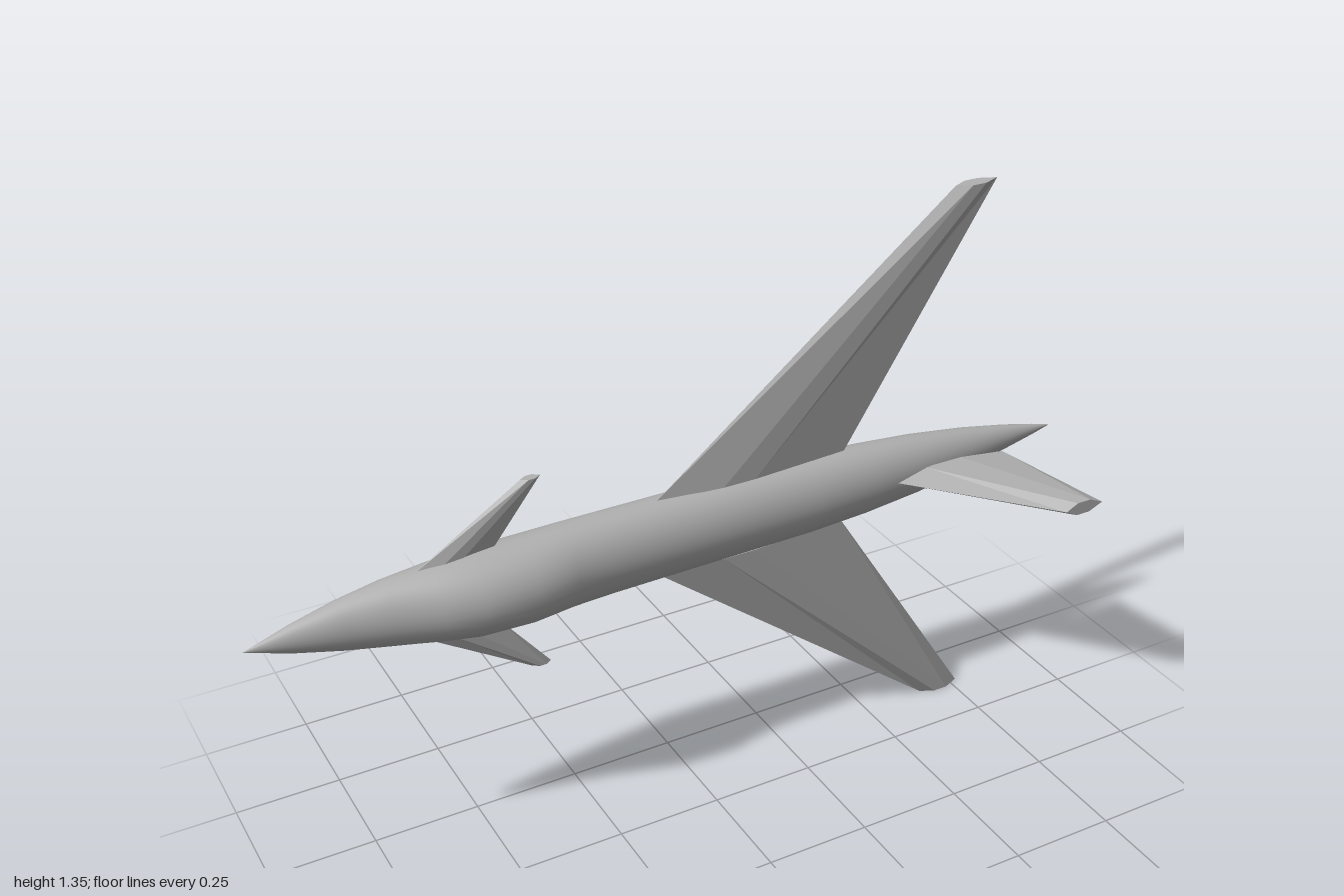
import * as THREE from 'three';

// Fuselage stations: [x, zMin (belly), zMax (back), half width]
const STATIONS = [
  [-1, -0.14, -0.14, 0], [-0.9, -0.162, -0.118, 0.032], [-0.8, -0.18, -0.1, 0.057],
  [-0.7, -0.195, -0.08, 0.075], [-0.6, -0.207, -0.05, 0.087], [-0.52, -0.217, -0.028, 0.093],
  [-0.4, -0.217, -0.025, 0.095], [-0.3, -0.212, -0.047, 0.096], [-0.2, -0.21, -0.055, 0.096],
  [0.1, -0.21, -0.063, 0.095], [0.3, -0.21, -0.065, 0.093], [0.45, -0.207, -0.071, 0.086],
  [0.6, -0.198, -0.083, 0.073], [0.75, -0.184, -0.102, 0.052], [0.87, -0.167, -0.121, 0.03],
  [0.95, -0.152, -0.133, 0.013], [1, -0.141, -0.141, 0],
];
const CENTRE_Y = 0.673;
const WING_Z = -0.129;

function fuselageGeometry(sides = 32) {
  const pos = [], index = [];
  STATIONS.forEach(([x, z0, z1, hy], s) => {
    for (let i = 0; i < sides; i++) {
      const a = (i / sides) * Math.PI * 2;
      pos.push(x, hy * Math.cos(a), (z0 + z1) / 2 + ((z1 - z0) / 2) * Math.sin(a));
      if (s === STATIONS.length - 1) continue;
      const j = (i + 1) % sides;
      const p = s * sides + i, q = s * sides + j;
      index.push(p, q, q + sides, p, q + sides, p + sides);
    }
  });
  const g = new THREE.BufferGeometry();
  g.setAttribute('position', new THREE.Float32BufferAttribute(pos, 3));
  g.setIndex(index);
  g.computeVertexNormals();
  return g;
}

// Tapered panel with a six-sided section; xs = leading edge, two ridges, trailing edge
function panelGeometry(root, tip, thickness) {
  const t = thickness / 2;
  const section = ({ xs: [a, b, c, d], span }) =>
    [[a, 0], [b, t], [c, t], [d, 0], [c, -t], [b, -t]].map(([x, z]) => [x, span, z]);
  const r = section(root), p = section(tip), pos = [];
  const tri = (...v) => v.forEach((k) => pos.push(...k));
  for (let i = 0; i < 6; i++) {
    const j = (i + 1) % 6;
    tri(r[i], r[j], p[j]);
    tri(r[i], p[j], p[i]);
  }
  for (let i = 1; i < 5; i++) {
    tri(p[0], p[i], p[i + 1]);
    tri(r[0], r[i + 1], r[i]);
  }
  const g = new THREE.BufferGeometry();
  g.setAttribute('position', new THREE.Float32BufferAttribute(pos, 3));
  g.computeVertexNormals();
  return g;
}

export function createModel() {
  const model = new THREE.Group();
  model.name = 'aircraft';
  const grey = new THREE.MeshStandardMaterial({ color: 0xb2b2b2 });
  grey.name = 'grey';

  const add = (name, geometry, z = 0, turn = 0) => {
    const mesh = new THREE.Mesh(geometry, grey);
    mesh.name = name;
    mesh.position.set(0, CENTRE_Y, z);
    mesh.rotation.x = turn;
    model.add(mesh);
  };

  add('fuselage', fuselageGeometry());

  // Swept main wings and foreplanes, mirrored by a half turn about the body axis
  const wing = panelGeometry(
    { xs: [-0.08, 0.08, 0.16, 0.4], span: 0.092 },
    { xs: [0.66, 0.695, 0.73, 0.77], span: 0.673 }, 0.033);
  const foreplane = panelGeometry(
    { xs: [-0.63, -0.58, -0.54, -0.465], span: 0.082 },
    { xs: [-0.39, -0.375, -0.36, -0.345], span: 0.233 }, 0.02);
  [['upper', 0], ['lower', Math.PI]].forEach(([side, turn]) => {
    add(side + 'Wing', wing, WING_Z, turn);
    add(side + 'Foreplane', foreplane, WING_Z, turn);
  });

  // Tail fin standing on the back of the fuselage
  add('tailFin', panelGeometry(
    { xs: [0.51, 0.6, 0.7, 0.82], span: 0.042 },
    { xs: [0.775, 0.805, 0.84, 0.875], span: 0.345 }, 0.031), WING_Z, Math.PI / 2);

  return model;
}
